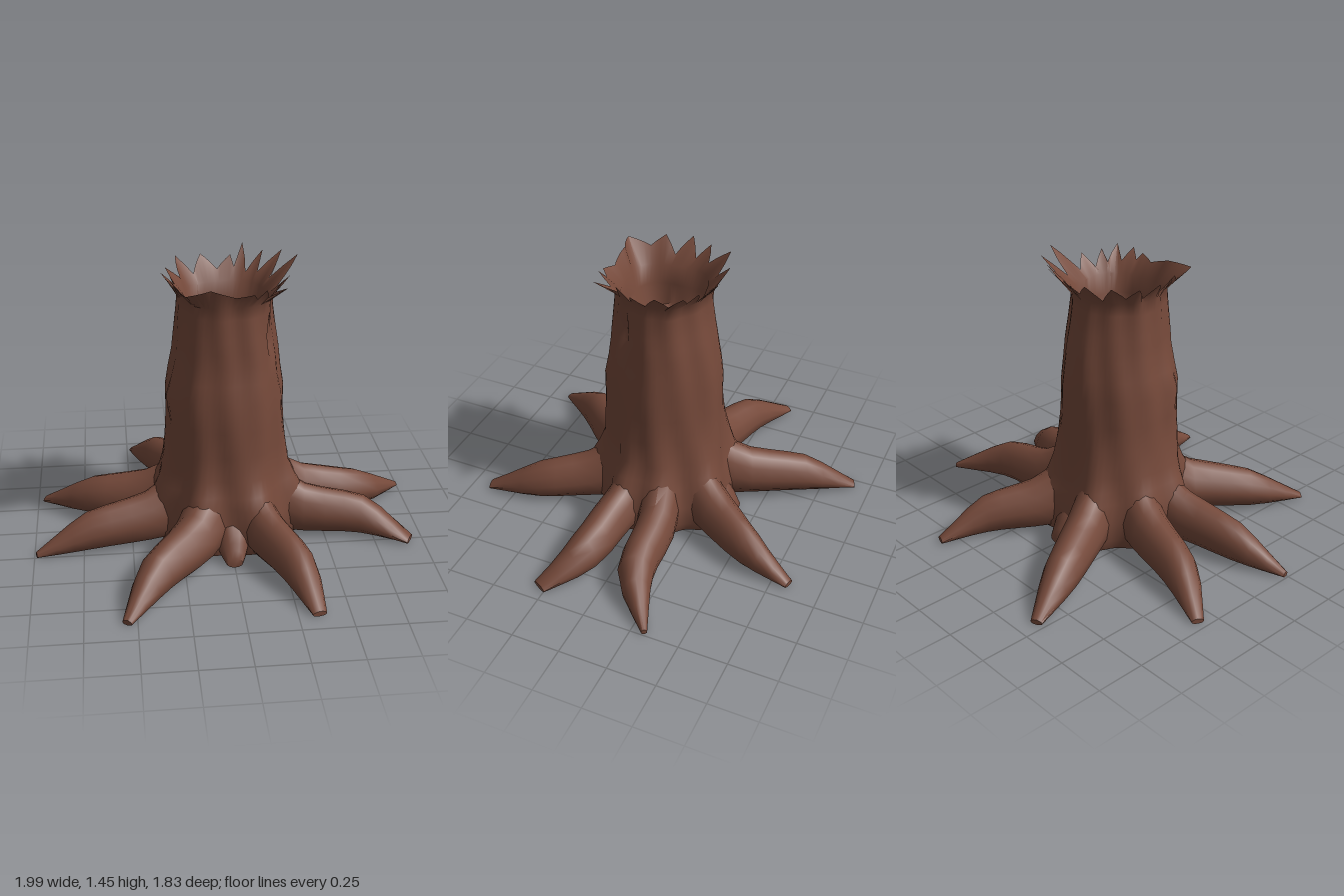
import * as THREE from 'three';
import { toCreasedNormals } from 'three/addons/utils/BufferGeometryUtils.js';

const bark = new THREE.MeshStandardMaterial({ color: 0x75493a });
bark.name = 'bark brown';

// Skin a list of closed rings (each an array of [x, y, z])
function loft(rings, name, crease) {
  const n = rings[0].length, index = [];
  for (let i = 0; i < rings.length - 1; i++) {
    for (let j = 0; j < n; j++) {
      const k = (j + 1) % n;
      const a = i * n + j, b = a + n, c = i * n + k, d = c + n;
      index.push(a, b, c, c, b, d);
    }
  }
  const geo = new THREE.BufferGeometry();
  geo.setAttribute('position', new THREE.Float32BufferAttribute(rings.flat(2), 3));
  geo.setIndex(index);
  const mesh = new THREE.Mesh(toCreasedNormals(geo, crease), bark);
  mesh.name = name;
  return mesh;
}

// Broken rim: angle in degrees, radius, height
const RIM = [
  [0, 0.25, 1.33], [10, 0.31, 1.4], [20, 0.25, 1.33], [30, 0.3, 1.41], [35, 0.26, 1.35],
  [45, 0.375, 1.41], [50, 0.28, 1.35], [60, 0.33, 1.41], [65, 0.29, 1.36], [70, 0.31, 1.39],
  [85, 0.27, 1.37], [110, 0.29, 1.41], [125, 0.38, 1.4], [140, 0.3, 1.37], [155, 0.31, 1.42],
  [165, 0.25, 1.34], [180, 0.32, 1.42], [190, 0.25, 1.34], [200, 0.31, 1.41], [210, 0.25, 1.35],
  [225, 0.33, 1.43], [235, 0.25, 1.34], [250, 0.3, 1.42], [265, 0.24, 1.35], [280, 0.29, 1.41],
  [285, 0.25, 1.36], [290, 0.34, 1.46], [300, 0.24, 1.34], [310, 0.33, 1.44], [315, 0.25, 1.35],
  [325, 0.37, 1.45], [335, 0.25, 1.34], [345, 0.38, 1.46], [360, 0.25, 1.33],
];
function rimAt(deg) {
  const i = RIM.findIndex((p, k) => k < RIM.length - 1 && deg <= RIM[k + 1][0]);
  const [a0, r0, y0] = RIM[i], [a1, r1, y1] = RIM[i + 1];
  const t = (deg - a0) / (a1 - a0);
  return [r0 + (r1 - r0) * t, y0 + (y1 - y0) * t];
}

// Roots: three stations of x, z, half width, from trunk to tip
const ROOTS = [
  [[0.4, 0.11, 0.1], [0.7, 0.15, 0.095], [0.93, 0.28, 0.045]],
  [[0.42, -0.12, 0.1], [0.72, -0.15, 0.09], [0.99, -0.32, 0.015]],
  [[0.21, -0.38, 0.105], [0.34, -0.6, 0.08], [0.41, -0.84, 0.03]],
  [[-0.2, -0.4, 0.105], [-0.34, -0.66, 0.09], [-0.46, -0.91, 0.03]],
  [[-0.42, -0.13, 0.11], [-0.7, -0.21, 0.09], [-0.96, -0.35, 0.03]],
  [[-0.42, 0.12, 0.1], [-0.72, 0.175, 0.085], [-0.99, 0.24, 0.02]],
  [[-0.2, 0.38, 0.12], [-0.4, 0.62, 0.095], [-0.55, 0.88, 0.025]],
  [[0.18, 0.38, 0.1], [0.29, 0.62, 0.09], [0.35, 0.9, 0.035]],
];
const rootAngles = ROOTS.map(r => Math.atan2(r[0][1], r[0][0]));

// Root swept along a curve, with rounded section and tapering height
function makeRoot(stations, tops, name) {
  const first = stations[0], len = Math.hypot(first[0], first[1]);
  const pts = [[first[0] / len * 0.17, first[1] / len * 0.17, first[2]], ...stations];
  const path = new THREE.CatmullRomCurve3(pts.map(p => new THREE.Vector3(p[0], 0, p[1])));
  const size = new THREE.CatmullRomCurve3(pts.map((p, i) => new THREE.Vector3(p[2], tops[i], 0)));
  const steps = 9, sides = 12, rings = [];
  for (let i = 0; i <= steps; i++) {
    const t = i / steps, p = path.getPoint(t), d = path.getTangent(t), s = size.getPoint(t);
    const low = 0.008 + 0.02 * Math.sin(Math.PI * t) * (1 - t);
    const mid = (s.y + low) / 2, half = (s.y - low) / 2;
    rings.push(Array.from({ length: sides }, (_, j) => {
      const a = j / sides * Math.PI * 2, w = s.x * Math.cos(a) * (1 - 0.15 * Math.sin(a));
      return [p.x - d.z * w, mid + half * Math.sin(a), p.z + d.x * w];
    }));
  }
  // Close the tip
  const e = path.getPoint(1);
  rings.push(rings[0].map(() => [e.x, 0.015, e.z]));
  return loft(rings, name, 0.8);
}

function makeTrunk() {
  const N = 72;
  // Height, radius, centre x, centre z, root flare
  const outer = [
    [0.03, 0.001, 0, 0, 0], [0.02, 0.33, 0, 0, 0.04], [0.08, 0.35, 0, 0, 0.06],
    [0.18, 0.34, 0, 0, 0.08], [0.28, 0.325, -0.01, 0.01, 0.07], [0.34, 0.315, -0.01, 0.01, 0.045],
    [0.42, 0.305, -0.015, 0.005, 0.025], [0.55, 0.3, -0.012, 0.015, 0.01],
    [0.68, 0.297, -0.012, 0.017, 0], [0.82, 0.294, -0.012, 0.017, 0], [0.92, 0.277, -0.01, 0.012, 0],
    [1.02, 0.262, -0.004, 0.012, 0], [1.08, 0.255, -0.005, 0.015, 0], [1.14, 0.247, -0.006, 0.018, 0],
    [1.25, 0.235, -0.007, 0.022, 0], [1.31, 0.235, -0.005, 0.02, 0],
  ];
  const ang = j => j / N * Math.PI * 2;
  const ring = f => Array.from({ length: N }, (_, j) => f(ang(j), j * 360 / N));
  const rings = outer.map(([y, r, cx, cz, flare]) => ring(a => {
    let q = r;
    if (r > 0.01) {
      // Swelling above each root, bark ripples, knot and hollow
      for (const b of rootAngles) q += flare * Math.max(0, Math.cos(a - b)) ** 30;
      q += 0.007 * Math.sin(5 * a + 3 * y) + 0.005 * Math.sin(11 * a - 4 * y);
      q += 0.025 * Math.exp(-(((a - 2.8) / 0.2) ** 2) - ((y - 0.83) / 0.08) ** 2);
      q -= 0.05 * Math.exp(-(((a - 0.55) / 0.12) ** 2) - ((y - 1.11) / 0.05) ** 2);
    }
    return [cx + q * Math.cos(a), y, cz + q * Math.sin(a)];
  }));
  // Splintered lip
  rings.push(ring((a, deg) => {
    const [r, y] = rimAt(deg);
    return [r * Math.cos(a), y, r * Math.sin(a)];
  }));
  // Hollow inside with an uneven floor
  for (const [y, r] of [[1.3, 0.215], [1.2, 0.2], [1.1, 0.18], [1.06, 0.1], [1.08, 0.001]]) {
    rings.push(ring(a => {
      const q = r * (1 + 0.06 * Math.sin(4 * a + 9 * y));
      const lump = r < 0.19 && r > 0.01 ? 0.025 * Math.sin(3 * a + 20 * r) : 0;
      return [q * Math.cos(a), y + lump, 0.015 + q * Math.sin(a)];
    }));
  }
  return loft(rings, 'trunk', 0.9);
}

export function createModel() {
  const stump = new THREE.Group();
  stump.name = 'treeStump';
  stump.add(makeTrunk());
  ROOTS.forEach((r, i) => stump.add(makeRoot(r, [0.46, 0.285, 0.215, 0.035], 'root' + (i + 1))));
  // Short buttresses at front and back
  for (const [z, name] of [[1, 'frontButtress'], [-0.92, 'backButtress']]) {
    stump.add(makeRoot([[0, 0.3 * z, 0.09], [0, 0.38 * z, 0.07], [0, 0.44 * z, 0.04]],
      [0.3, 0.24, 0.16, 0.06], name));
  }
  return stump;
}
